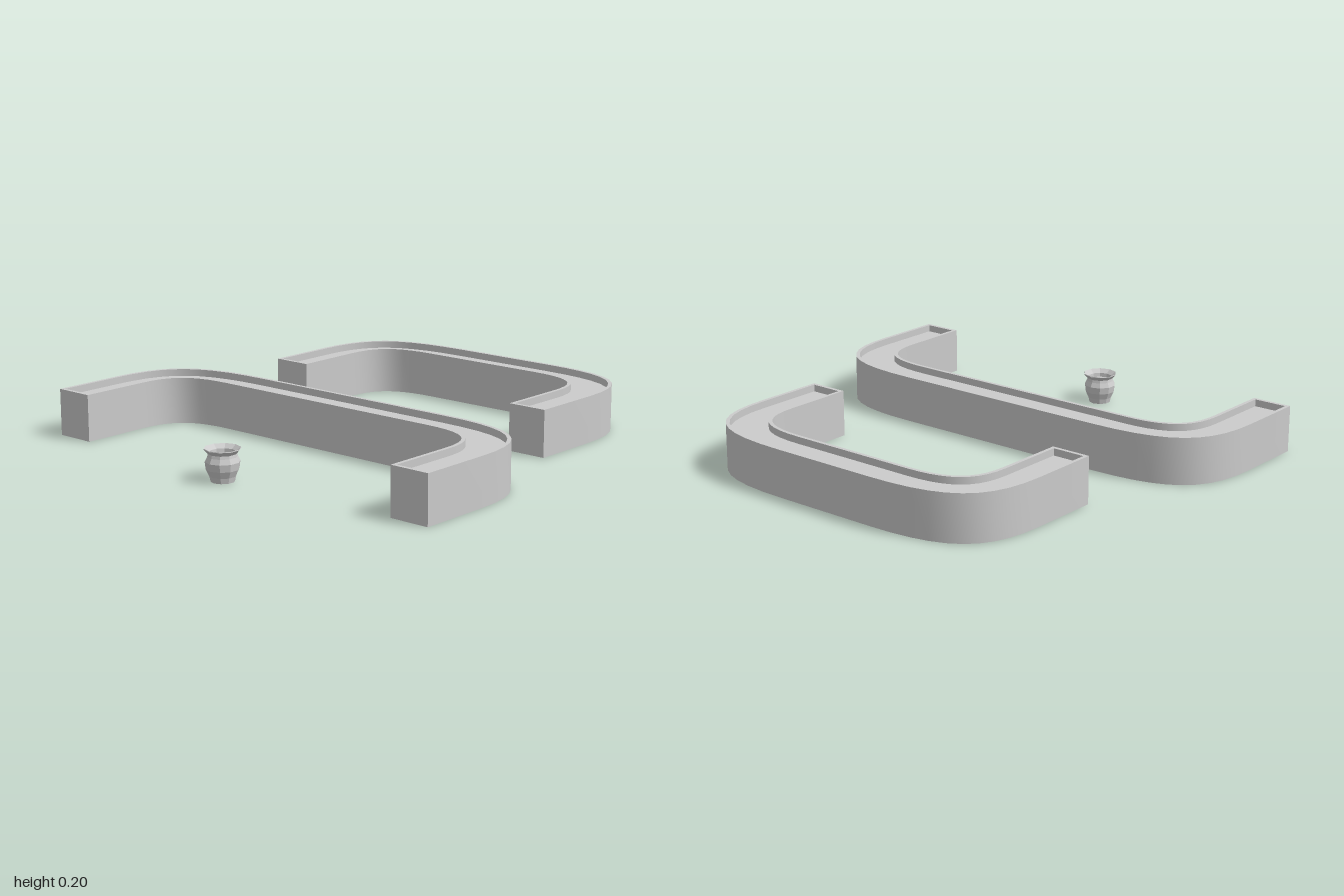
import * as THREE from 'three';
import { toCreasedNormals } from 'three/addons/utils/BufferGeometryUtils.js';

const HEIGHT = 0.2, SOIL = 0.17, RIM = 0.016, WALL = 0.175, DEPTH = 0.713;

const material = () => new THREE.MeshStandardMaterial({ color: 0xcccccc });

// U-shaped outline with soft corners, open towards the front (-y of the shape);
// inset shrinks it evenly on every side.
function outline(path, w, inset) {
  const o = w - inset, i = w - WALL + inset;
  const back = -inset, inner = -WALL + inset, front = -DEPTH + inset;
  path.moveTo(o, front);
  path.lineTo(o, -0.4);
  path.bezierCurveTo(o, -0.1 - inset, w - 0.13, back, w - 0.5, back);
  path.lineTo(-w + 0.5, back);
  path.bezierCurveTo(-w + 0.13, back, -o, -0.1 - inset, -o, -0.4);
  path.lineTo(-o, front);
  path.lineTo(-i, front);
  path.lineTo(-i, -0.4);
  path.bezierCurveTo(-i, -0.24 + inset, -w + 0.25, inner, -w + 0.45, inner);
  path.lineTo(w - 0.45, inner);
  path.bezierCurveTo(w - 0.25, inner, i, -0.24 + inset, i, -0.4);
  path.lineTo(i, front);
  path.closePath();
  return path;
}

function extrudeUp(shape, depth, name) {
  const geo = new THREE.ExtrudeGeometry(shape, { depth, bevelEnabled: false, curveSegments: 10 });
  geo.rotateX(-Math.PI / 2);
  const mesh = new THREE.Mesh(toCreasedNormals(geo, 0.6), material());
  mesh.name = name;
  return mesh;
}

// Trough wall standing around a slightly lower bed of soil
function planter(name, halfWidth, x, backZ) {
  const group = new THREE.Group();
  group.name = name;
  const wall = outline(new THREE.Shape(), halfWidth, 0);
  wall.holes.push(outline(new THREE.Path(), halfWidth, RIM));
  group.add(extrudeUp(wall, HEIGHT, 'planterWall'));
  group.add(extrudeUp(outline(new THREE.Shape(), halfWidth, RIM), SOIL, 'soilBed'));
  group.position.set(x, 0, backZ);
  return group;
}

// Small faceted vase with a bulging belly and a flared lip
function vase() {
  const profile = [
    [0, 0], [0.048, 0], [0.053, 0.022], [0.066, 0.05], [0.07, 0.08],
    [0.06, 0.1], [0.057, 0.112], [0.074, 0.13], [0.073, 0.133],
    [0.052, 0.117], [0.05, 0.1], [0, 0.1],
  ].map(([r, y]) => new THREE.Vector2(r, y));
  const mat = material();
  mat.flatShading = true;
  mat.side = THREE.DoubleSide;
  const mesh = new THREE.Mesh(new THREE.LatheGeometry(profile, 10), mat);
  mesh.name = 'vase';
  mesh.position.set(0.02, 0, 0.866);
  return mesh;
}

export function createModel() {
  const model = new THREE.Group();
  model.name = 'planterSet';
  model.add(planter('frontPlanter', 1, 0, 0.099));
  model.add(planter('backPlanter', 0.74, 0.015, -0.938));
  model.add(vase());
  return model;
}
